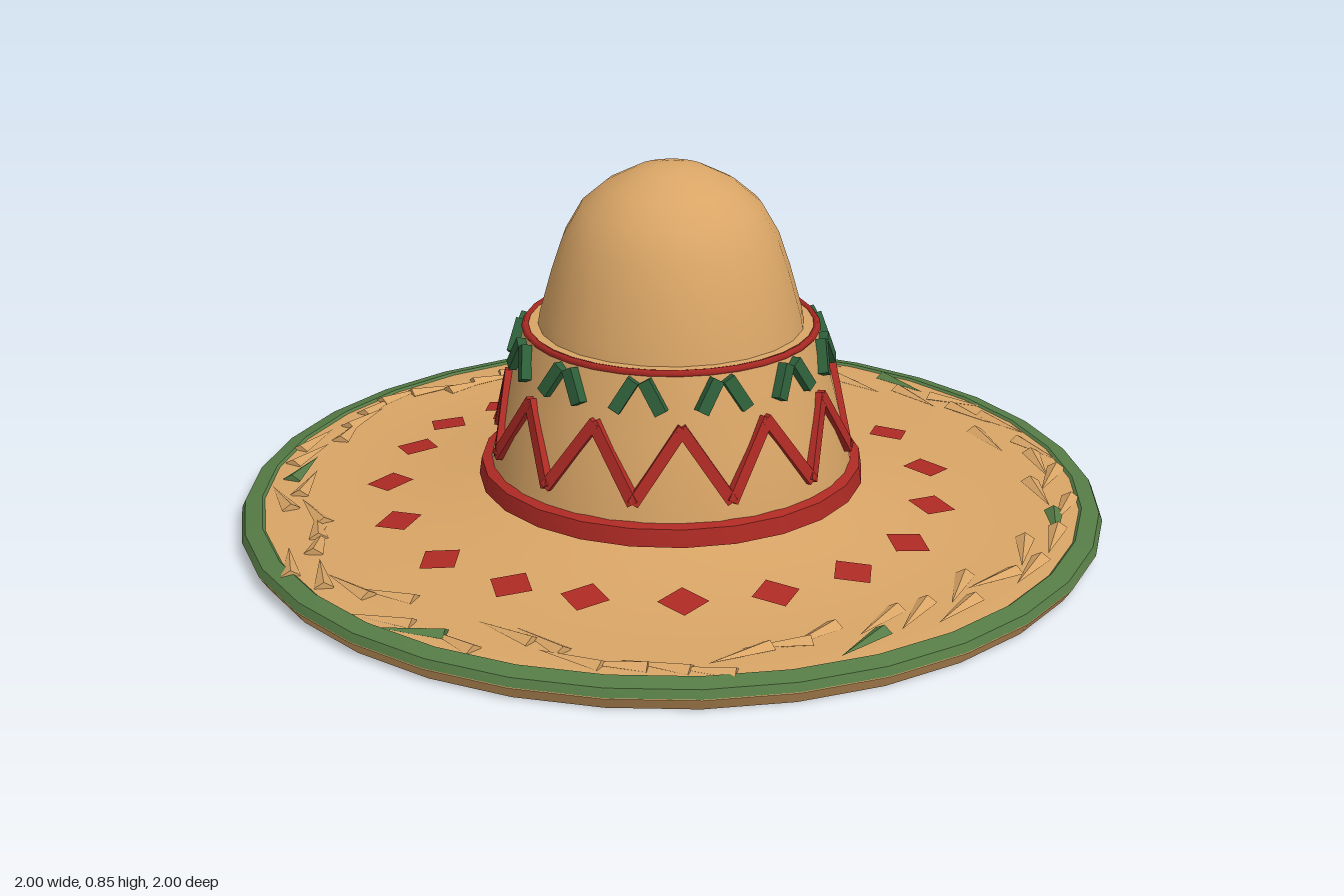
import * as THREE from 'three';
import { toCreasedNormals } from 'three/addons/utils/BufferGeometryUtils.js';

const mat = (name, color) => Object.assign(new THREE.MeshStandardMaterial({ color }), { name });

export function createModel() {
  const straw = mat('straw', 0xd9a566);
  const red = mat('red', 0xae2a24);
  const leafGreen = mat('leafGreen', 0x2e5f3a);
  const rimGreen = mat('rimGreen', 0x567c46);

  const hat = new THREE.Group();
  hat.name = 'hat';

  const add = (name, geometry, material, parent = hat) => {
    const mesh = new THREE.Mesh(geometry, material);
    mesh.name = name;
    parent.add(mesh);
    return mesh;
  };
  const group = (name) => {
    const g = new THREE.Group();
    g.name = name;
    hat.add(g);
    return g;
  };
  const lathe = (name, profile, material, sides = 32) => {
    const points = profile.map(([r, y]) => new THREE.Vector2(r, y));
    return add(name, toCreasedNormals(new THREE.LatheGeometry(points, sides), 0.5), material);
  };

  let seed = 7;
  const rand = (a, b) => {
    seed = (seed * 16807) % 2147483647;
    return a + (b - a) * (seed / 2147483647);
  };

  // Brim: recessed underside, flat bottom, rim and gently rising top
  lathe('brimRecess', [[0.36, 0.05], [0.5, 0.05]], straw);
  lathe('brimRecessStep', [[0.5, 0.05], [0.5, 0]], red);
  lathe('brim', [
    [0.5, 0], [0.98, 0], [1, 0.03], [0.99, 0.046], [0.95, 0.054], [0.88, 0.052],
    [0.76, 0.055], [0.65, 0.062], [0.52, 0.08], [0.41, 0.1],
  ], straw);
  lathe('rimStripe', [[1.0, 0.032], [0.992, 0.05], [0.952, 0.059], [0.945, 0.053]], rimGreen);

  // Crown: sloping lower wall with a lip, and the dome above it
  lathe('crownWall', [[0.425, 0.09], [0.42, 0.14], [0.38, 0.31], [0.336, 0.47], [0.28, 0.472]], straw);
  lathe('dome', [
    [0.31, 0.44], [0.3, 0.5], [0.272, 0.6], [0.245, 0.68], [0.205, 0.75],
    [0.15, 0.797], [0.08, 0.833], [0.03, 0.844], [0, 0.845],
  ], straw, 24);
  lathe('crownLining', [
    [0, 0.82], [0.14, 0.775], [0.22, 0.68], [0.28, 0.5], [0.32, 0.35], [0.36, 0.15],
  ], straw, 24);
  lathe('sweatband', [[0.36, 0.15], [0.36, 0.05]], red, 24);

  // Red bands at the foot and the top of the crown wall
  lathe('hatBand', [[0.42, 0.096], [0.447, 0.105], [0.441, 0.145], [0.41, 0.152]], red, 24);
  const cord = add('topCord', new THREE.TorusGeometry(0.334, 0.009, 5, 32), red);
  cord.rotation.x = Math.PI / 2;
  cord.position.y = 0.467;

  // A straight bar lying on the crown wall between two (angle, height) points
  const onWall = (deg, y) => {
    const a = THREE.MathUtils.degToRad(deg);
    const r = 0.424 - (y - 0.14) * 0.257;
    return new THREE.Vector3(r * Math.sin(a), y, r * Math.cos(a));
  };
  const bar = (name, a, b, width, depth, material, parent) => {
    const p = onWall(...a), q = onWall(...b);
    const along = q.clone().sub(p);
    const length = along.length();
    along.normalize();
    const middle = p.add(q).multiplyScalar(0.5);
    const out = new THREE.Vector3(middle.x, 0, middle.z).normalize();
    out.addScaledVector(along, -out.dot(along)).normalize();
    const side = along.clone().cross(out);
    const mesh = add(name, new THREE.BoxGeometry(length + width * 0.4, width, depth), material, parent);
    // x runs along the bar, z points away from the wall
    mesh.quaternion.setFromRotationMatrix(new THREE.Matrix4().makeBasis(along, side.negate(), out));
    mesh.position.copy(middle);
  };

  // Zigzag and leaf pairs around the crown, plain straw on one stretch
  const zigzag = group('zigzag');
  const leaves = group('leaves');
  for (let i = 0; i < 12; i++) {
    const deg = i * 30;
    for (const s of [-1, 1]) {
      const middle = deg + s * 7.5;
      const plain = middle > 95 && middle < 155;
      bar('zigzagBar', [deg, 0.195], [deg + s * 15, 0.35], 0.026, 0.028, plain ? straw : red, zigzag);
      bar('leaf', [deg + s * 2.5, 0.448], [deg + s * 8, 0.39], 0.028, 0.036,
        plain && deg === 120 ? straw : leafGreen, leaves);
    }
  }

  // Red diamonds on the brim
  const spots = [
    [-0.43, -0.5], [-0.24, -0.61], [-0.08, -0.67], [0.09, -0.65], [0.28, -0.58], [0.46, -0.43],
    [0.58, -0.23], [0.62, -0.02], [0.58, 0.2], [0.46, 0.4], [0.29, 0.54], [0.09, 0.62],
    [-0.11, 0.62], [-0.3, 0.56], [-0.46, 0.44], [-0.58, 0.27], [-0.64, 0.11], [-0.65, -0.1], [-0.57, -0.32],
  ];
  const diamonds = group('diamonds');
  const diamondShape = new THREE.CircleGeometry(0.055, 4).rotateX(-Math.PI / 2 + 0.12);
  for (const [x, z] of spots) {
    const r = Math.hypot(x, z);
    const diamond = add('diamond', diamondShape, red, diamonds);
    diamond.position.set(x, 0.068 + (0.65 - r) * 0.13, z);
    diamond.rotation.y = Math.atan2(x, z);
  }

  // Woven straw ridges near the rim
  const weave = group('weave');
  const strand = toCreasedNormals(new THREE.ConeGeometry(0.022, 0.15, 4).rotateZ(Math.PI / 2).scale(1, 0.6, 1), 0.3);
  for (let i = 0; i < 64; i++) {
    const a = (i / 64) * Math.PI * 2;
    const r = rand(0.82, 0.93);
    const ridge = add('strand', strand, i % 11 === 5 ? rimGreen : straw, weave);
    ridge.position.set(r * Math.sin(a), 0.055, r * Math.cos(a));
    ridge.rotation.y = a + rand(-0.5, 0.5);
  }
  return hat;
}
